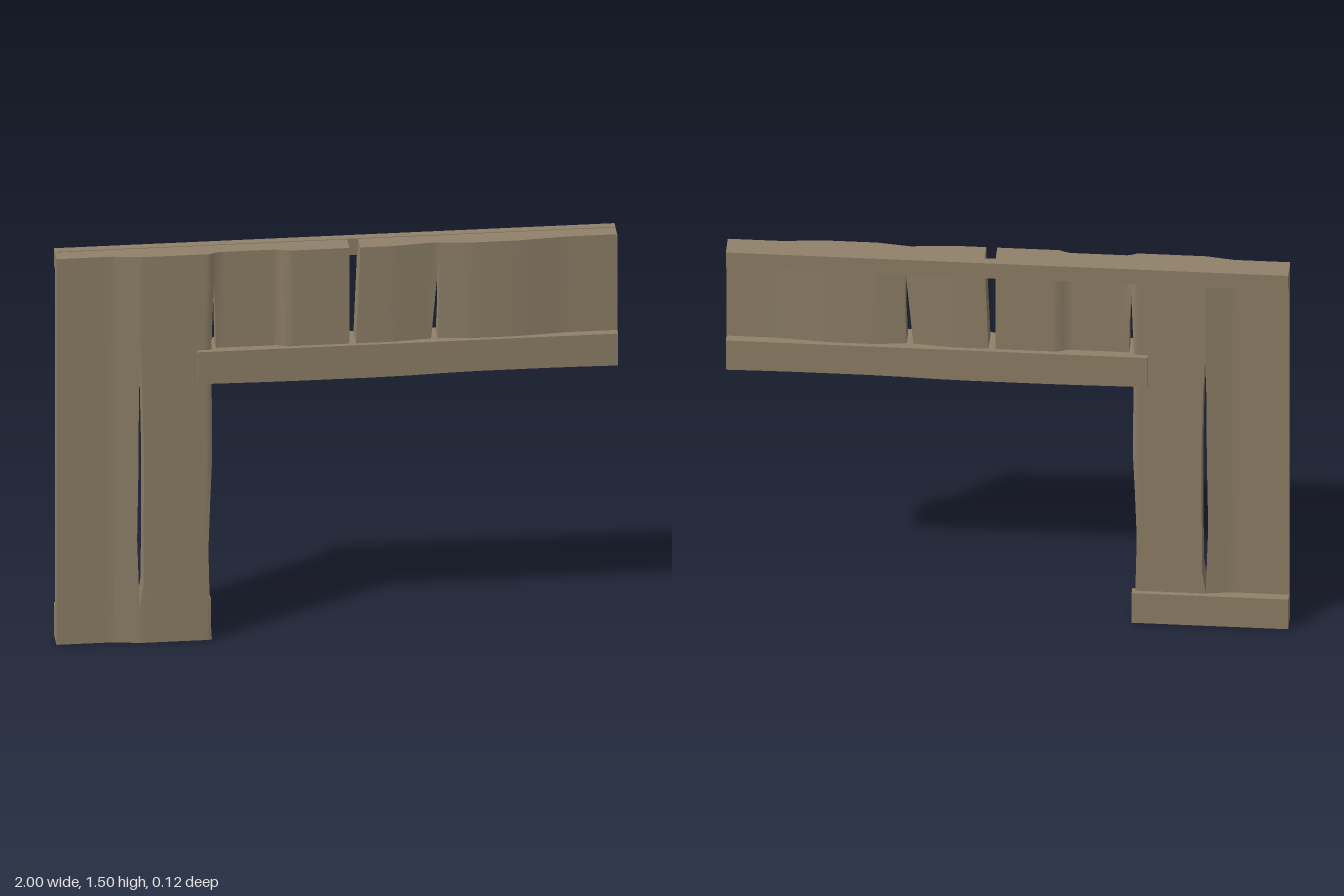
import * as THREE from 'three';

// Piecewise-linear interpolation through [position, value] pairs
function lerpTable(table, t) {
  if (t <= table[0][0]) return table[0][1];
  for (let i = 1; i < table.length; i++) {
    const [a, va] = table[i - 1], [b, vb] = table[i];
    if (t <= b) return va + (vb - va) * (t - a) / (b - a);
  }
  return table[table.length - 1][1];
}

// Half thickness of the worn planks along x
const halfDepth = [[-1, 0.029], [-0.8, 0.029], [-0.7, 0.045], [-0.455, 0.045], [-0.43, 0.03],
  [-0.21, 0.03], [-0.18, 0.045], [0.2, 0.045], [0.35, 0.03], [0.47, 0.045], [0.64, 0.045],
  [0.82, 0.03], [1, 0.03]];

// Plank edges: [y, x]
const edges = {
  outer: [[0, -1]],
  legCrackLeft: [[0, -0.705], [0.13, -0.705], [0.4, -0.714], [0.7, -0.709], [0.95, -0.708], [1.12, -0.703]],
  legCrackRight: [[0, -0.705], [0.13, -0.705], [0.22, -0.692], [0.7, -0.69], [0.95, -0.695], [1.12, -0.703]],
  legInner: [[0, -0.447], [0.13, -0.455], [0.35, -0.46], [0.55, -0.453], [0.7, -0.446], [0.85, -0.447],
    [1.13, -0.449], [1.38, -0.44]],
  cornerCrackRight: [[1.13, -0.432], [1.25, -0.433], [1.38, -0.44]],
  slotLeft: [[1.13, 0.043]],
  slotRight: [[1.13, 0.067], [1.5, 0.082]],
  beamCrackLeft: [[1.13, 0.336], [1.44, 0.364]],
  beamCrackRight: [[1.13, 0.359], [1.25, 0.364], [1.44, 0.364]],
  end: [[0, 1]],
};

export function createModel() {
  const group = new THREE.Group();
  const wood = new THREE.MeshStandardMaterial({ color: 0x908169 });
  wood.name = 'weathered wood';

  const add = (name, geometry) => {
    const mesh = new THREE.Mesh(geometry, wood);
    mesh.name = name;
    group.add(mesh);
  };

  // A plank between two edge lines, swelling and thinning along x
  const plank = (name, left, right, bottom) => {
    const inside = (y) => y > bottom && y < 1.5;
    const ys = [...new Set([bottom, ...left.map(p => p[0]), ...right.map(p => p[0]), 1.5])]
      .filter(y => y === bottom || y === 1.5 || inside(y)).sort((a, b) => a - b);
    const geometry = new THREE.BoxGeometry(1, 1, 1, 24, ys.length - 1, 1);
    const pos = geometry.attributes.position;
    for (let i = 0; i < pos.count; i++) {
      const y = ys[Math.round((pos.getY(i) + 0.5) * (ys.length - 1))];
      const x0 = lerpTable(left, y), x1 = lerpTable(right, y);
      const x = x0 + (x1 - x0) * (pos.getX(i) + 0.5);
      pos.setXYZ(i, x, y, 2 * pos.getZ(i) * lerpTable(halfDepth, x));
    }
    geometry.computeVertexNormals();
    add(name, geometry);
  };

  plank('outerLegPlank', edges.outer, edges.legCrackLeft, 0);
  plank('innerLegPlank', edges.legCrackRight, edges.legInner, 0);
  plank('beamPlankNearLeg', edges.cornerCrackRight, edges.slotLeft, 1.06);
  plank('beamPlankMiddle', edges.slotRight, edges.beamCrackLeft, 1.06);
  plank('beamPlankEnd', edges.beamCrackRight, edges.end, 1.06);

  // A straight rail; sag gives [x, height] offsets of its underside
  const rail = (name, x0, x1, y0, y1, z0, z1, sag = [[0, 0]]) => {
    const geometry = new THREE.BoxGeometry(x1 - x0, y1 - y0, z1 - z0, 12, 1, 1);
    geometry.translate((x0 + x1) / 2, (y0 + y1) / 2, (z0 + z1) / 2);
    const pos = geometry.attributes.position;
    for (let i = 0; i < pos.count; i++) {
      if (pos.getY(i) < (y0 + y1) / 2) pos.setY(i, pos.getY(i) + lerpTable(sag, pos.getX(i)));
    }
    geometry.computeVertexNormals();
    add(name, geometry);
  };

  rail('lowerBeamRail', -0.5, 1, 1, 1.128, -0.062, 0.062,
    [[-0.5, 0.004], [-0.2, 0], [0.2, 0], [0.45, 0.007], [0.8, 0.007], [1, 0.004]]);
  rail('topBackRail', -1, 1, 1.438, 1.502, -0.062, -0.03);
  rail('footBackRail', -1, -0.443, 0, 0.126, -0.062, -0.03);

  return group;
}
